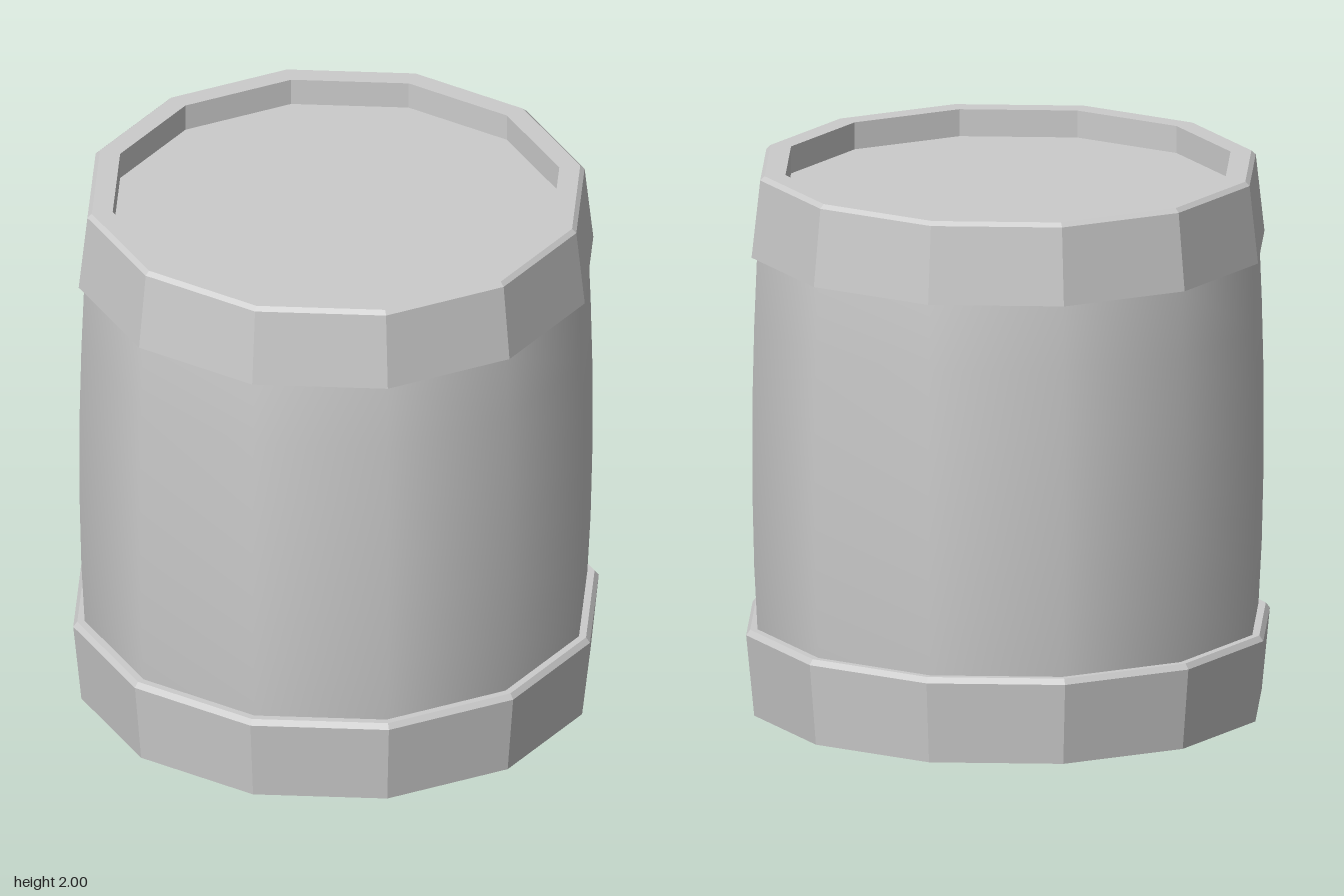
import * as THREE from 'three';

const SIDES = 12;

export function createModel() {
  const group = new THREE.Group();
  const smooth = new THREE.MeshStandardMaterial({ color: 0xcccccc });
  const faceted = new THREE.MeshStandardMaterial({ color: 0xcccccc, flatShading: true });

  const add = (name, geometry, material) => {
    const mesh = new THREE.Mesh(geometry, material);
    mesh.name = name;
    group.add(mesh);
    return mesh;
  };

  // Profiles are [radius, height] pairs, spun into twelve sides
  const lathe = (points) =>
    new THREE.LatheGeometry(points.map(([r, y]) => new THREE.Vector2(r, y)), SIDES);

  // Gently bulging body
  add('body', lathe([
    [0.905, 0.06], [0.922, 0.3], [0.935, 0.55], [0.941, 0.8], [0.942, 1.0],
    [0.941, 1.2], [0.935, 1.45], [0.925, 1.7], [0.9, 1.92],
  ]), smooth);

  // Lower band: flares upward, with a bevelled upper edge and a thin lip underneath
  add('lowerBand', lathe([
    [0.925, 0.02], [0.93, 0], [0.935, 0], [0.965, 0.3], [0.95, 0.32], [0.9, 0.32],
  ]), faceted);

  // Upper band: tapers upward, then folds over the rim and down to the lid
  add('upperBand', lathe([
    [0.9, 1.7], [0.945, 1.7], [0.913, 1.985], [0.897, 2], [0.82, 2], [0.82, 1.9],
  ]), faceted);

  // Sunken lid and floor
  const lid = add('lid', new THREE.CircleGeometry(0.82, SIDES), faceted);
  lid.rotation.x = -Math.PI / 2;
  lid.position.y = 1.9;

  const floor = add('floor', new THREE.CircleGeometry(0.925, SIDES), faceted);
  floor.rotation.x = Math.PI / 2;
  floor.position.y = 0.02;

  return group;
}
